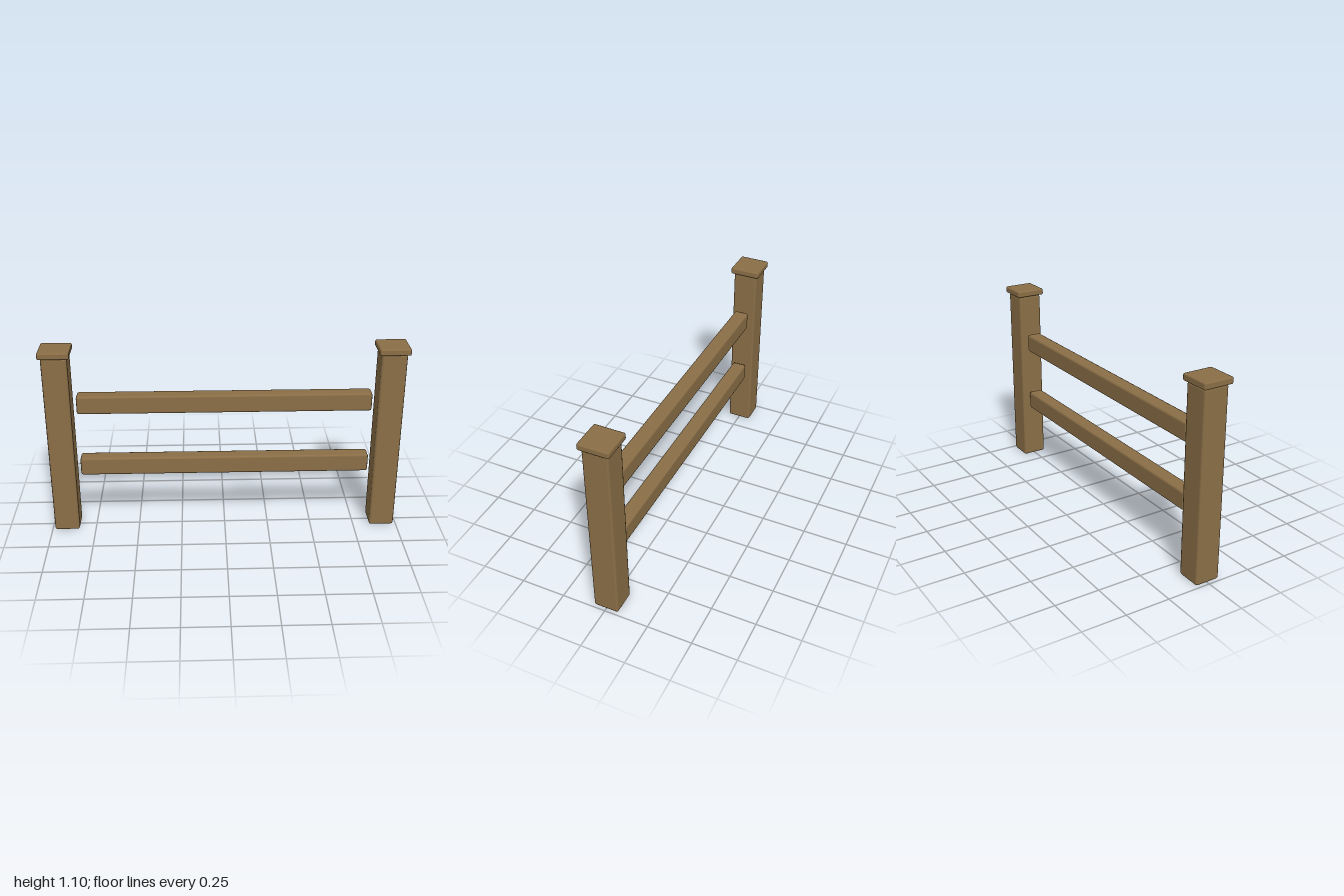
import * as THREE from 'three';
import { RoundedBoxGeometry } from 'three/addons/geometries/RoundedBoxGeometry.js';

export function createModel() {
  const fence = new THREE.Group();
  fence.name = 'fence';
  const wood = new THREE.MeshStandardMaterial({ color: 0x8b6f47 });
  wood.name = 'wood';

  // Timber with softened edges, placed by its centre
  const timber = (name, size, position, bevel) => {
    const mesh = new THREE.Mesh(new RoundedBoxGeometry(...size, 1, bevel), wood);
    mesh.name = name;
    mesh.position.set(...position);
    fence.add(mesh);
  };

  // Square posts, each with a flat cap
  for (const [side, x] of [['left', 0.914], ['right', -0.914]]) {
    timber(side + 'Post', [0.142, 1.058, 0.142], [x, 0.529, 0], 0.013);
    timber(side + 'PostCap', [0.171, 0.038, 0.171], [x, 1.077, 0], 0.009);
  }

  // Horizontal rails between the posts
  timber('lowerRail', [1.63, 0.106, 0.084], [0, 0.394, 0], 0.013);
  timber('upperRail', [1.63, 0.106, 0.084], [0, 0.771, 0], 0.013);

  return fence;
}
